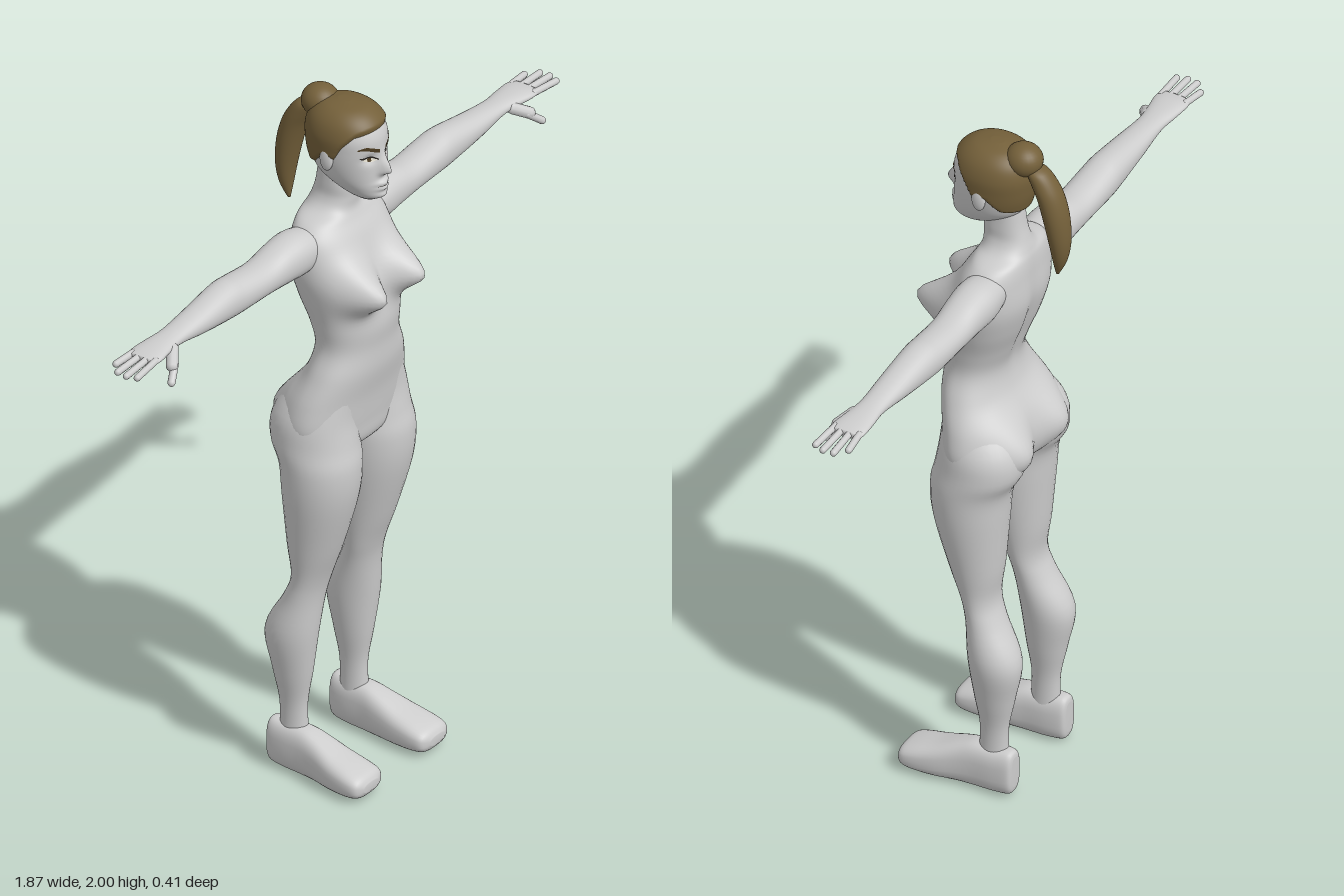
import * as THREE from 'three';

const mat = (name, color, extra = {}) => Object.assign(new THREE.MeshStandardMaterial({ color, ...extra }), { name });

// Smooth Catmull-Rom refinement of a list of sections
function refine(rows, n) {
  const out = [], last = rows.length - 1;
  const at = (i) => rows[Math.min(last, Math.max(0, i))];
  for (let i = 0; i < last; i++) for (let k = 0; k < n; k++) {
    const t = k / n, p = at(i - 1), a = at(i), b = at(i + 1), q = at(i + 2);
    out.push(a.map((v, j) => 0.5 * (2 * v + (b[j] - p[j]) * t + (2 * p[j] - 5 * v + 4 * b[j] - q[j]) * t * t
      + (3 * v - p[j] - 3 * b[j] + q[j]) * t * t * t)));
  }
  out.push(rows[last]);
  return out;
}

// Loft of rounded sections [t, aMin, aMax, bMin, bMax]; axes gives the directions of t, a, b
function loft(axes, rows, { exp = 2, sides = 32, steps = 5, bump } = {}) {
  const secs = refine(rows, steps), pos = [], idx = [];
  const put = (t, a, b) => {
    const p = { [axes[0]]: t, [axes[1]]: a, [axes[2]]: b };
    if (bump) bump(p);
    pos.push(p.x, p.y, p.z);
  };
  const sq = (v) => Math.sign(v) * Math.abs(v) ** (2 / exp);
  for (const [t, a0, a1, b0, b1] of secs) for (let i = 0; i < sides; i++) {
    const u = (i / sides) * Math.PI * 2;
    put(t, (a0 + a1) / 2 + sq(Math.cos(u)) * (a1 - a0) / 2, (b0 + b1) / 2 + sq(Math.sin(u)) * (b1 - b0) / 2);
  }
  const n = secs.length;
  for (const s of [secs[0], secs[n - 1]]) put(s[0], (s[1] + s[2]) / 2, (s[3] + s[4]) / 2);
  for (let i = 0; i < sides; i++) {
    const j = (i + 1) % sides, e = (n - 1) * sides;
    idx.push(n * sides, j, i, n * sides + 1, e + i, e + j);
    for (let r = 0; r < n - 1; r++) {
      const o = r * sides;
      idx.push(o + i, o + j, o + sides + i, o + j, o + sides + j, o + sides + i);
    }
  }
  // Turn the faces outward
  let vol = 0;
  const v = (k) => new THREE.Vector3().fromArray(pos, idx[k] * 3);
  for (let k = 0; k < idx.length; k += 3) vol += v(k).dot(v(k + 1).cross(v(k + 2)));
  if (vol < 0) idx.reverse();
  const g = new THREE.BufferGeometry();
  g.setAttribute('position', new THREE.Float32BufferAttribute(pos, 3));
  g.setIndex(idx);
  g.computeVertexNormals();
  return g;
}

function mirrored(geo) {
  const g = geo.clone().scale(-1, 1, 1);
  g.index.array.reverse();
  return g;
}

const sym = (rows) => rows.map(([t, h, b0, b1]) => [t, -h, h, b0, b1]);
const gauss = (d, s) => Math.exp(-((d / s) ** 2));

function ellipsoid(x, y, z, rx, ry, rz) {
  return new THREE.SphereGeometry(1, 24, 18).scale(rx, ry, rz).translate(x, y, z);
}

function capsule(from, to, r) {
  const a = new THREE.Vector3(...from), b = new THREE.Vector3(...to), d = b.clone().sub(a);
  const q = new THREE.Quaternion().setFromUnitVectors(new THREE.Vector3(0, 1, 0), d.clone().normalize());
  return new THREE.CapsuleGeometry(r, d.length() - r, 5, 10).applyQuaternion(q)
    .translate(...a.add(b).multiplyScalar(0.5).toArray());
}

export function createModel() {
  const root = new THREE.Group();
  root.name = 'figure';
  const skin = mat('pale grey', 0xcdcdcd), hair = mat('brown hair', 0x74603a);
  const brown = mat('brow brown', 0x4a3a20, { side: THREE.DoubleSide });
  const dark = mat('dark lash', 0x2a2622, { side: THREE.DoubleSide });
  const white = mat('eye white', 0xe6e2d4, { side: THREE.DoubleSide });
  const add = (name, geo, m) => {
    const mesh = new THREE.Mesh(geo, m);
    mesh.name = name;
    root.add(mesh);
    return mesh;
  };
  const pair = (name, geo, m) => {
    add('left ' + name, geo, m);
    add('right ' + name, mirrored(geo), m);
  };

  // Torso and neck, with the chest and seat swelled by smooth bumps
  add('torso', loft('yxz', sym([
    [1.8, 0.045, -0.06, 0.03], [1.74, 0.048, -0.068, 0.045], [1.7, 0.052, -0.078, 0.045],
    [1.67, 0.075, -0.088, 0.045], [1.645, 0.13, -0.095, 0.055], [1.6, 0.162, -0.1, 0.08],
    [1.52, 0.167, -0.104, 0.108], [1.44, 0.155, -0.085, 0.128], [1.36, 0.138, -0.055, 0.143],
    [1.29, 0.134, -0.035, 0.138], [1.22, 0.165, -0.045, 0.135], [1.14, 0.2, -0.08, 0.12],
    [1.06, 0.212, -0.09, 0.11], [1.0, 0.17, -0.08, 0.1], [0.965, 0.06, -0.05, 0.06]]), {
    exp: 2.2, sides: 72, steps: 6, bump: (p) => {
      const x = Math.abs(p.x), z = p.z;
      if (z > 0) p.z += 0.098 * gauss(x - 0.088, 0.058) * gauss(p.y - 1.475, p.y > 1.475 ? 0.068 : 0.052) * Math.min(1, z / 0.05);
      else {
        p.z -= 0.058 * gauss(x - 0.1, 0.075) * gauss(p.y - 1.065, 0.085) * Math.min(1, -z / 0.04);
        p.z += 0.012 * gauss(x, 0.025) * gauss(p.y - 1.45, 0.14) * Math.min(1, -z / 0.04);
      }
    },
  }), skin);

  // Legs
  pair('leg', loft('yxz', [
    [1.2, 0.02, 0.15, -0.03, 0.11], [1.1, 0.005, 0.208, -0.11, 0.107], [1.02, 0.001, 0.222, -0.122, 0.118],
    [0.95, 0.006, 0.226, -0.09, 0.13], [0.85, 0.014, 0.22, -0.08, 0.12], [0.7, 0.035, 0.197, -0.068, 0.077],
    [0.6, 0.05, 0.182, -0.056, 0.042], [0.53, 0.06, 0.185, -0.078, 0.026], [0.42, 0.068, 0.2, -0.132, 0.015],
    [0.3, 0.085, 0.18, -0.115, 0], [0.2, 0.1, 0.162, -0.096, -0.015], [0.1, 0.1, 0.162, -0.096, -0.012]]), skin);

  // Feet with a rounded heel and a low toe
  pair('foot', loft('zxy', [
    [-0.122, 0.12, 0.155, 0.03, 0.12], [-0.113, 0.105, 0.17, 0.008, 0.138], [-0.07, 0.096, 0.177, 0.002, 0.138],
    [-0.01, 0.093, 0.18, 0, 0.137], [0.035, 0.088, 0.186, 0, 0.125], [0.1, 0.082, 0.2, 0, 0.101],
    [0.16, 0.08, 0.206, 0.004, 0.083], [0.192, 0.087, 0.2, 0.012, 0.07], [0.205, 0.115, 0.175, 0.028, 0.052]],
  { exp: 2.7 }), skin);

  // Arms down to the palm
  pair('arm', loft('xzy', [
    [0.09, -0.075, 0.03, 1.54, 1.63], [0.17, -0.088, 0.035, 1.527, 1.648], [0.24, -0.086, 0.03, 1.531, 1.643],
    [0.32, -0.084, 0.024, 1.537, 1.627], [0.42, -0.085, 0.022, 1.538, 1.636], [0.48, -0.082, 0.02, 1.54, 1.641],
    [0.6, -0.072, 0.015, 1.556, 1.625], [0.7, -0.064, 0.008, 1.573, 1.613], [0.76, -0.069, 0.014, 1.577, 1.61],
    [0.81, -0.073, 0.022, 1.58, 1.607], [0.84, -0.07, 0.02, 1.584, 1.601]], { exp: 2.2 }), skin);

  // Fingers and thumb: root z, tip x, tip z
  [[-0.06, 0.895, -0.068], [-0.036, 0.925, -0.04], [-0.012, 0.928, -0.01], [0.011, 0.918, 0.018]].forEach(([z0, x1, z1], i) =>
    pair('finger ' + (i + 1), capsule([0.82, 1.594, z0], [x1, 1.588, z1], 0.0095), skin));
  pair('thumb base', capsule([0.735, 1.59, 0], [0.785, 1.56, 0.035], 0.0165), skin);
  pair('thumb', capsule([0.765, 1.568, 0.03], [0.812, 1.53, 0.052], 0.0105), skin);

  // Head, with nose, lips, chin and eye sockets
  const headRows = sym([
    [1.717, 0.02, 0.05, 0.11], [1.735, 0.042, 0.015, 0.132], [1.76, 0.06, -0.03, 0.137], [1.79, 0.075, -0.065, 0.134],
    [1.83, 0.085, -0.08, 0.132], [1.87, 0.089, -0.086, 0.132], [1.91, 0.089, -0.086, 0.128],
    [1.945, 0.076, -0.073, 0.11], [1.968, 0.05, -0.045, 0.077], [1.978, 0.012, -0.005, 0.03]]);
  const head = add('head', loft('yxz', headRows, {
    exp: 2.1, sides: 96, steps: 8, bump: (p) => {
      if (p.z < 0.05) return;
      const x = Math.abs(p.x);
      p.z += 0.03 * gauss(x, 0.014) * gauss(p.y - 1.815, p.y > 1.815 ? 0.036 : 0.013)
        + 0.011 * gauss(x, 0.022) * gauss(p.y - 1.777, 0.007) + 0.01 * gauss(x, 0.02) * gauss(p.y - 1.762, 0.007)
        + 0.008 * gauss(x, 0.025) * gauss(p.y - 1.738, 0.012)
        - 0.011 * gauss(x - 0.036, 0.018) * gauss(p.y - 1.855, 0.014);
    },
  }), skin);
  pair('ear', ellipsoid(0.089, 1.847, 0.018, 0.011, 0.035, 0.02).rotateX(0), skin);

  // Hair cap: the skull swelled above the hairline and sunk below it
  const cap = loft('yxz', headRows, { exp: 2.1, sides: 96, steps: 10 });
  const line = [[-0.09, 1.795], [-0.035, 1.81], [0, 1.85], [0.04, 1.85], [0.062, 1.89], [0.09, 1.922], [0.14, 1.938]];
  const hairline = (z) => {
    const i = Math.max(1, line.findIndex((l) => l[0] > z)), [z0, y0] = line[i - 1], [z1, y1] = line[i];
    return y0 + (y1 - y0) * THREE.MathUtils.clamp((z - z0) / (z1 - z0), 0, 1);
  };
  const cp = cap.attributes.position, cn = cap.attributes.normal;
  for (let i = 0; i < cp.count; i++) {
    const o = THREE.MathUtils.clamp((cp.getY(i) - hairline(cp.getZ(i))) * 0.8, -0.02, 0.008);
    cp.setXYZ(i, cp.getX(i) + cn.getX(i) * o, cp.getY(i) + cn.getY(i) * o, cp.getZ(i) + cn.getZ(i) * o);
  }
  cap.computeVertexNormals();
  add('hair cap', cap, hair);
  add('hair bun', ellipsoid(0, 1.953, -0.066, 0.05, 0.046, 0.052), hair);
  add('ponytail', loft('yxz', sym([
    [1.945, 0.012, -0.11, -0.08], [1.932, 0.03, -0.137, -0.078], [1.9, 0.037, -0.163, -0.093], [1.86, 0.04, -0.183, -0.112],
    [1.8, 0.04, -0.198, -0.13], [1.73, 0.034, -0.203, -0.146], [1.67, 0.022, -0.194, -0.156], [1.622, 0.004, -0.172, -0.163]])), hair);

  // Thin face details laid on the head: strips of [x, top, bottom]
  const ray = new THREE.Raycaster(), back = new THREE.Vector3(0, 0, -1);
  head.updateMatrixWorld(true);
  function strip(rows, lift) {
    const pos = [], idx = [];
    refine(rows, 5).forEach(([x, top, bottom], i) => {
      for (let k = 0; k < 4; k++) {
        const y = top + (bottom - top) * k / 3;
        ray.set(new THREE.Vector3(x, y, 1), back);
        const hit = ray.intersectObject(head)[0];
        pos.push(x, y, (hit ? hit.point.z : 0.12) + lift);
        const o = i * 4 + k;
        if (i && k) idx.push(o - 5, o - 4, o - 1, o - 4, o, o - 1);
      }
    });
    const g = new THREE.BufferGeometry();
    g.setAttribute('position', new THREE.Float32BufferAttribute(pos, 3));
    g.setIndex(idx);
    g.computeVertexNormals();
    return g;
  }
  pair('eyebrow', strip([[0.012, 1.88, 1.87], [0.03, 1.888, 1.877], [0.05, 1.895, 1.886], [0.066, 1.889, 1.886]], 0.002), brown);
  pair('eye white', strip([[0.018, 1.851, 1.849], [0.034, 1.86, 1.846], [0.055, 1.858, 1.854]], 0.0015), white);
  pair('iris', strip([[0.031, 1.859, 1.849], [0.036, 1.861, 1.847], [0.041, 1.86, 1.849]], 0.0025), brown);
  pair('eyelash', strip([[0.016, 1.853, 1.849], [0.034, 1.864, 1.859], [0.052, 1.864, 1.858], [0.062, 1.864, 1.861]], 0.003), dark);
  add('mouth line', strip([[-0.022, 1.7705, 1.7695], [0, 1.771, 1.769], [0.022, 1.7705, 1.7695]], 0.001), dark);

  return root;
}
